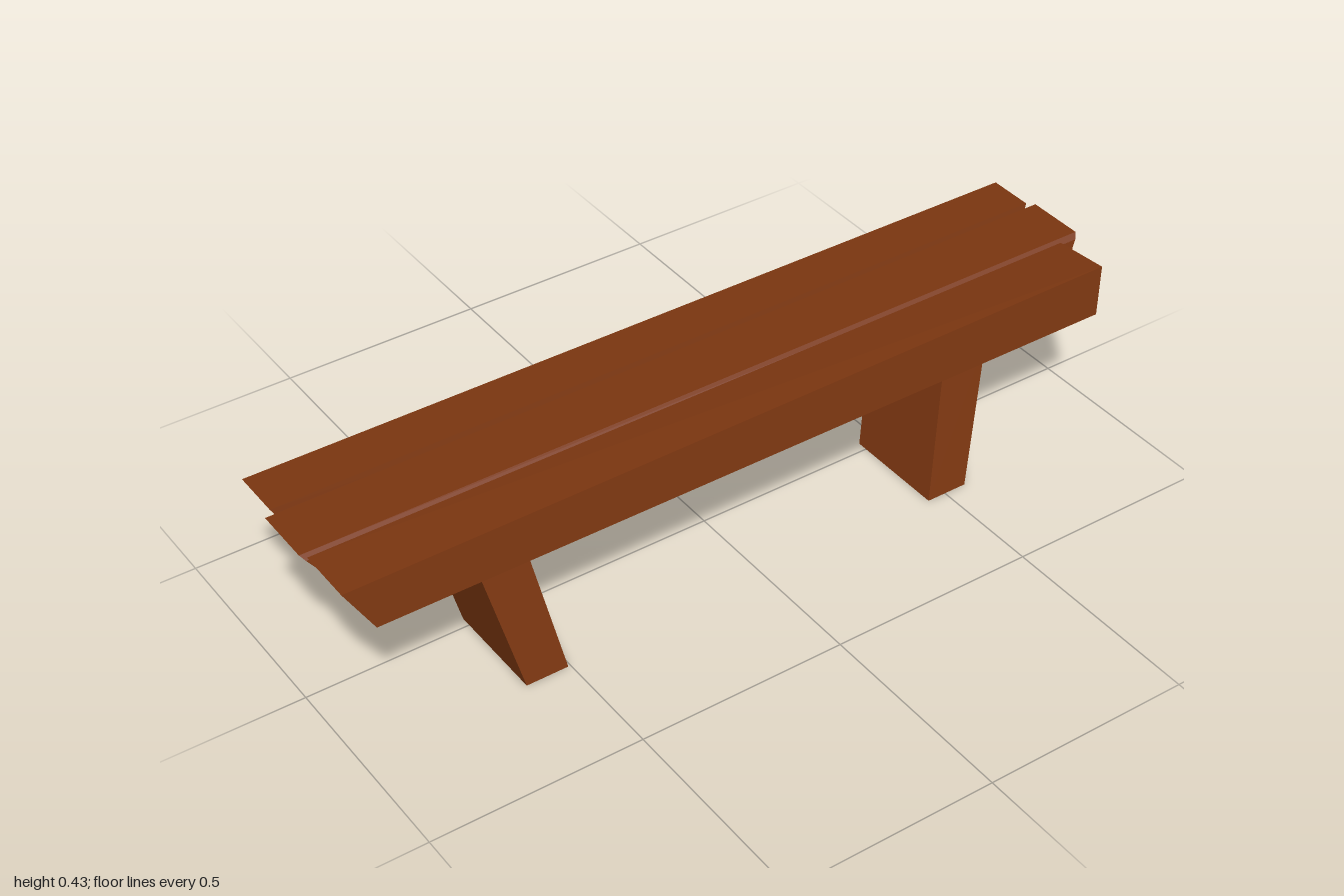
import * as THREE from 'three';

const wood = new THREE.MeshStandardMaterial({ color: 0x7b3610, side: THREE.DoubleSide });
wood.name = 'brown wood';

// Flat-faced solid between two matching rings of [x, y, z] points.
// Rings run counter-clockwise when seen from the end side.
function loft(start, end, capStart = true) {
  const pos = [];
  const tri = (a, b, c) => pos.push(...a, ...b, ...c);
  const n = start.length;
  for (let i = 0; i < n; i++) {
    const j = (i + 1) % n;
    tri(start[i], start[j], end[j]);
    tri(start[i], end[j], end[i]);
  }
  for (let i = 1; i < n - 1; i++) {
    tri(end[0], end[i], end[i + 1]);
    if (capStart) tri(start[0], start[i + 1], start[i]);
  }
  const geo = new THREE.BufferGeometry();
  geo.setAttribute('position', new THREE.Float32BufferAttribute(pos, 3));
  geo.computeVertexNormals();
  return geo;
}

// Section of [z, y] points placed at an end whose x slopes from bottom to top
function endRing(section, xBottom, xTop) {
  return section.map(([z, y]) => [xBottom + (xTop - xBottom) * (y - 0.315) / 0.1, y, z]);
}

// Sections start at the bottom front corner and go round by the back
const planks = [
  {
    name: 'frontPlank',
    a: [[0.218, 0.315], [0.083, 0.315], [0.063, 0.415], [0.2, 0.415]], ax: [-0.93, -0.99],
    b: [[0.22, 0.316], [0.083, 0.314], [0.063, 0.415], [0.2, 0.425]], bx: [0.922, 0.943],
  },
  {
    name: 'middlePlank',
    a: [[0.083, 0.316], [-0.075, 0.316], [-0.098, 0.403], [-0.093, 0.415], [0.048, 0.415], [0.058, 0.403]],
    ax: [-0.92, -1],
    b: [[0.083, 0.316], [-0.075, 0.316], [-0.098, 0.403], [-0.093, 0.415], [0.048, 0.415], [0.058, 0.403]],
    bx: [0.935, 1],
  },
  {
    name: 'backPlank',
    a: [[-0.08, 0.315], [-0.188, 0.306], [-0.23, 0.415], [-0.111, 0.415]], ax: [-0.92, -0.98],
    b: [[-0.075, 0.316], [-0.18, 0.316], [-0.218, 0.415], [-0.108, 0.415]], bx: [0.93, 0.985],
  },
];

// Horizontal rectangle used for the foot and the top of a leg
const rect = (x0, x1, z0, z1, y) => [[x0, y, z1], [x1, y, z1], [x1, y, z0], [x0, y, z0]];

export function createModel() {
  const group = new THREE.Group();
  group.name = 'bench';
  const add = (name, geo) => {
    const mesh = new THREE.Mesh(geo, wood);
    mesh.name = name;
    group.add(mesh);
  };

  // Seat
  for (const p of planks) add(p.name, loft(endRing(p.a, ...p.ax), endRing(p.b, ...p.bx)));

  // Slanting legs, hollow and open at the foot
  const legs = [
    ['rightLeg', [-0.608, -0.506], [-0.67, -0.552]],
    ['leftLeg', [0.453, 0.556], [0.547, 0.665]],
  ];
  for (const [name, foot, top] of legs) {
    add(name, loft(rect(...foot, -0.025, 0.23, 0), rect(...top, -0.11, 0.145, 0.313), false));
  }
  return group;
}
